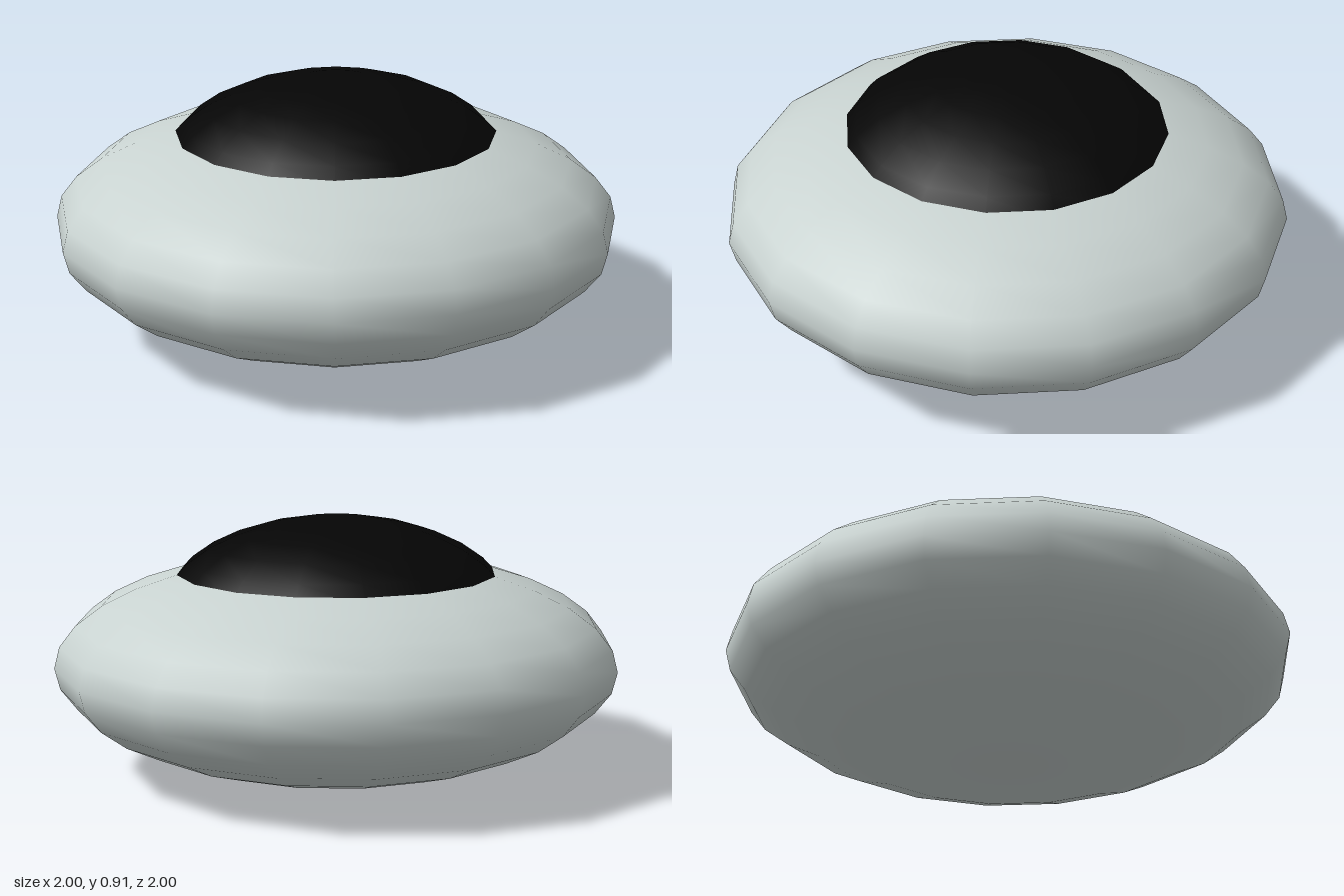
import * as THREE from 'three';

// Smooth 16-sided ellipsoid, flattened vertically
function ellipsoid(name, radius, halfHeight, y, color) {
  const geometry = new THREE.SphereGeometry(1, 16, 16);
  geometry.scale(radius, halfHeight, radius);
  const mesh = new THREE.Mesh(geometry, new THREE.MeshStandardMaterial({ color }));
  mesh.name = name;
  mesh.position.y = y;
  return mesh;
}

export function createModel() {
  const model = new THREE.Group();
  model.name = 'flyingSaucer';
  // Wide pale hull
  model.add(ellipsoid('hull', 1, 0.39, 0.395, 0xc8d2d0));
  // Black cockpit dome sunk into the hull
  model.add(ellipsoid('dome', 0.64, 0.36, 0.552, 0x050505));
  return model;
}
